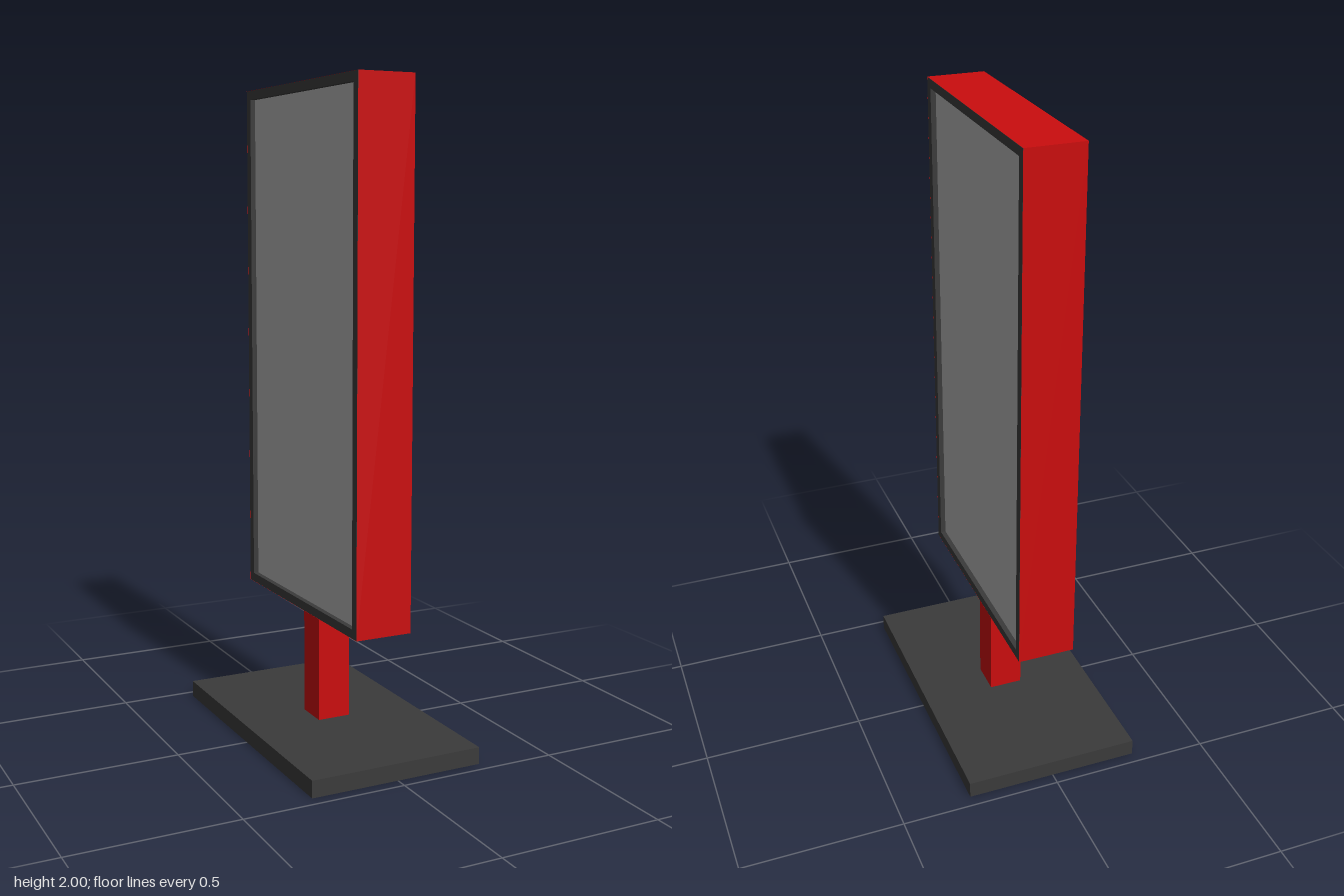
import * as THREE from 'three';

const red = new THREE.MeshStandardMaterial({ color: 0xcb0d0e });
red.name = 'red paint';
red.side = THREE.DoubleSide;
const dark = new THREE.MeshStandardMaterial({ color: 0x3b3b3b });
dark.name = 'dark grey';
const grey = new THREE.MeshStandardMaterial({ color: 0xb4b4b4 });
grey.name = 'panel grey';

const BOTTOM = 0.405, TOP = 2, HALF_Z = 0.381; // cabinet outline
const X_MIN = -0.094, X_MAX = 0.084;
const BORDER = 0.028, RECESS = 0.016;
const HEIGHT = TOP - BOTTOM, MID_Y = (TOP + BOTTOM) / 2, MID_X = (X_MIN + X_MAX) / 2;

function add(group, name, geometry, material, x, y, z) {
  const mesh = new THREE.Mesh(geometry, material);
  mesh.name = name;
  mesh.position.set(x, y, z);
  group.add(mesh);
  return mesh;
}

function rectangle(PathType, halfW, halfH) {
  return new PathType([
    new THREE.Vector2(-halfW, -halfH), new THREE.Vector2(halfW, -halfH),
    new THREE.Vector2(halfW, halfH), new THREE.Vector2(-halfW, halfH),
  ]);
}

export function createModel() {
  const model = new THREE.Group();
  model.name = 'displayStand';

  // Foot and post
  add(model, 'base', new THREE.BoxGeometry(0.55, 0.052, 0.926), dark, 0, 0.026, 0);
  add(model, 'post', new THREE.BoxGeometry(0.105, BOTTOM - 0.052, 0.105), red, 0, (BOTTOM + 0.052) / 2, 0);

  // Casing: a box without its two broad x faces
  const casing = new THREE.BoxGeometry(X_MAX - X_MIN, HEIGHT, HALF_Z * 2);
  casing.setIndex(Array.from(casing.index.array).slice(12));
  casing.clearGroups();
  add(model, 'casing', casing, red, MID_X, MID_Y, 0);

  // Dark border around a recessed panel, on both broad sides
  const ring = rectangle(THREE.Shape, HALF_Z - 0.0005, HEIGHT / 2 - 0.0005);
  ring.holes.push(rectangle(THREE.Path, HALF_Z - BORDER, HEIGHT / 2 - BORDER));
  const frame = new THREE.ExtrudeGeometry(ring, { depth: RECESS, bevelEnabled: false });
  frame.translate(0, 0, -RECESS);
  const panel = new THREE.PlaneGeometry((HALF_Z - BORDER) * 2, HEIGHT - BORDER * 2);
  for (const side of [1, -1]) {
    const face = new THREE.Group();
    face.name = side > 0 ? 'leftDisplay' : 'rightDisplay';
    add(face, 'frame', frame, dark, 0, 0, 0);
    add(face, 'panel', panel, grey, 0, 0, -RECESS);
    face.rotation.y = side * Math.PI / 2;
    face.position.set(side > 0 ? X_MAX : X_MIN, MID_Y, 0);
    model.add(face);
  }
  return model;
}
